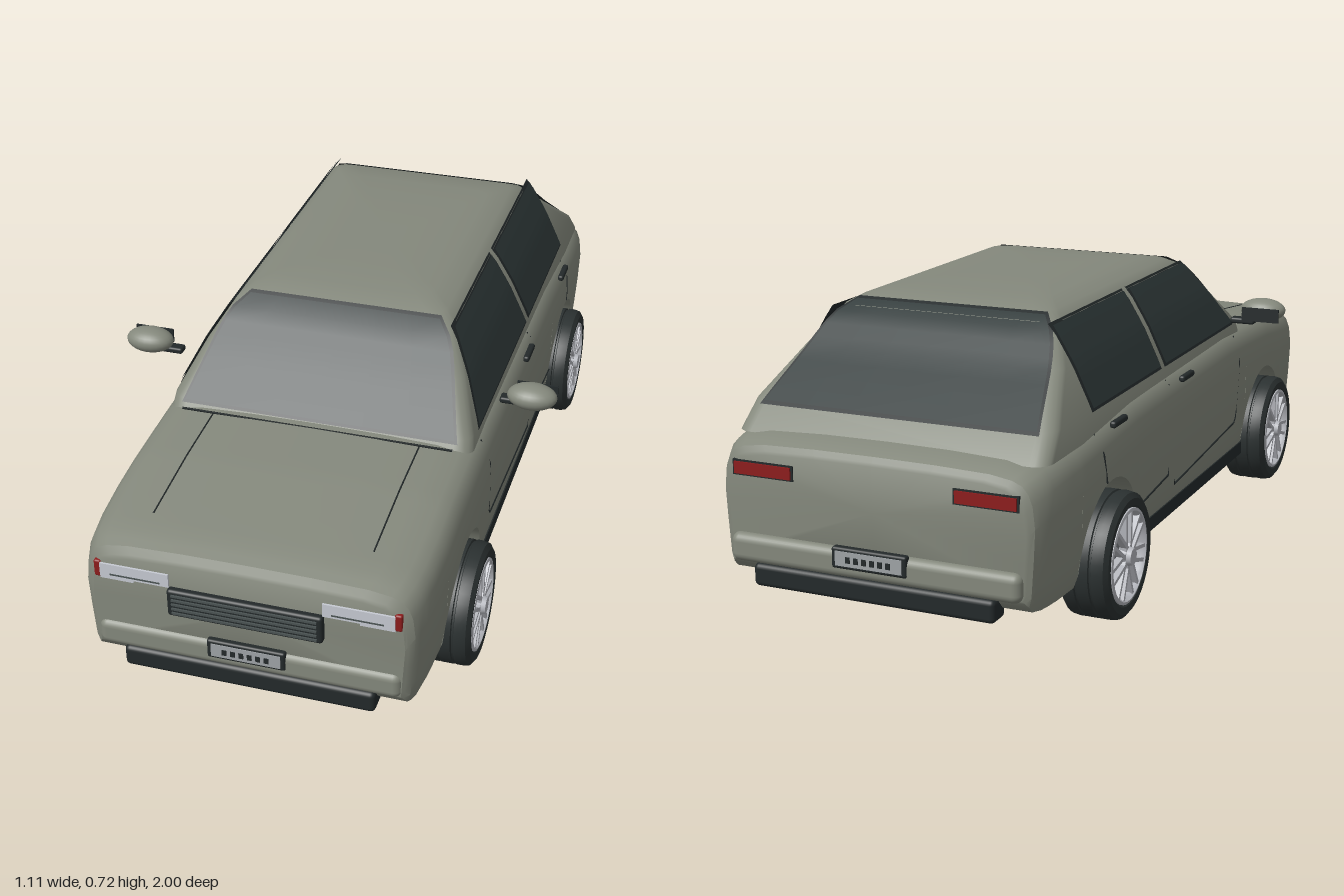
import * as THREE from 'three';
import { toCreasedNormals } from 'three/addons/utils/BufferGeometryUtils.js';
import { RoundedBoxGeometry } from 'three/addons/geometries/RoundedBoxGeometry.js';

const mat = (name, color, side = THREE.FrontSide) => {
  const m = new THREE.MeshStandardMaterial({ color, side });
  m.name = name;
  return m;
};
const paint = mat('body paint', 0x84887c);
const glass = mat('dark glass', 0x2e3838, THREE.DoubleSide);
const trim = mat('black trim', 0x23292a, THREE.DoubleSide);
const rubber = mat('tyre rubber', 0x2b3131);
const alloy = mat('alloy', 0xb4b6bc);
const alloyDark = mat('alloy shadow', 0x76787d);
const lens = mat('lamp lens', 0xc6cad2);
const red = mat('red lens', 0x8c1c1c);
const plateGrey = mat('plate grey', 0x9ea3a6);
const slat = mat('grille slat', 0x4a5252);

// Linear interpolation in a table of [key, value] pairs with rising keys
function table(k, rows, col = 1) {
  if (k <= rows[0][0]) return rows[0][col];
  for (let i = 1; i < rows.length; i++) {
    const a = rows[i - 1], b = rows[i];
    if (k <= b[0]) return a[col] + (b[col] - a[col]) * (k - a[0]) / (b[0] - a[0]);
  }
  return rows[rows.length - 1][col];
}
const lerp = THREE.MathUtils.lerp;

// Skin through closed rings, capped at both ends
function loft(rings, crease) {
  const n = rings[0].length, pos = [], index = [];
  rings.forEach(r => r.forEach(p => pos.push(...p)));
  for (let i = 0; i < rings.length - 1; i++) for (let j = 0; j < n; j++) {
    const k = (j + 1) % n, a = i * n + j, b = i * n + k;
    index.push(a, a + n, b + n, a, b + n, b);
  }
  [0, rings.length - 1].forEach((ri, end) => {
    const c = pos.length / 3, r = rings[ri];
    pos.push(...[0, 1, 2].map(d => r.reduce((s, p) => s + p[d], 0) / n));
    for (let j = 0; j < n; j++) {
      const a = ri * n + j, b = ri * n + (j + 1) % n;
      if (end) index.push(c, b, a); else index.push(c, a, b);
    }
  });
  const g = new THREE.BufferGeometry();
  g.setAttribute('position', new THREE.Float32BufferAttribute(pos, 3));
  g.setIndex(index);
  return toCreasedNormals(g, crease);
}

// Thin curved sheet from a rule f(u, v) -> [x, y, z]
function sheet(f, nu = 6, nv = 8) {
  const g = new THREE.PlaneGeometry(1, 1, nu, nv), p = g.attributes.position;
  for (let i = 0; i < p.count; i++) p.setXYZ(i, ...f(p.getX(i) + 0.5, p.getY(i) + 0.5));
  g.computeVertexNormals();
  return g;
}

// Lower body rules: roof line of the hood and boot, plan taper, side width by height
const TOP = [[-0.97, 0.41], [-0.96, 0.43], [-0.93, 0.443], [-0.85, 0.455], [-0.4, 0.485], [0.3, 0.492],
  [0.47, 0.485], [0.65, 0.475], [0.85, 0.452], [0.92, 0.443], [0.965, 0.43], [0.98, 0.405]];
const TAPER = [[-0.97, 0.89], [-0.96, 0.93], [-0.92, 0.97], [-0.85, 0.99], [-0.75, 1], [0.75, 1],
  [0.85, 0.99], [0.92, 0.97], [0.965, 0.935], [0.98, 0.89]];
const BASE = [[-0.97, 0.16], [-0.95, 0.13], [-0.9, 0.125], [0.93, 0.12], [0.96, 0.13], [0.98, 0.16]];
const WIDTH = [[0.12, 0.388], [0.16, 0.402], [0.3, 0.412]];
const SHOULDER = [[0, 0.3], [0.008, 0.355], [0.018, 0.38], [0.035, 0.396], [0.06, 0.406], [0.11, 0.412]];
const AXLES = [0.6, -0.59];
const sideX = (y, z) => Math.min(table(y, WIDTH), table(table(z, TOP) - y, SHOULDER)) * table(z, TAPER);

function bodyGeometry() {
  const stations = [];
  const plain = z => stations.push([z, table(z, BASE)]);
  [0.98, 0.975, 0.965, 0.945, 0.92, 0.88, 0.85, 0.8].forEach(plain);
  AXLES.forEach((axle, k) => {
    plain(axle + 0.1745);
    for (let i = 0; i <= 20; i++) {
      const t = Math.PI * i / 20;
      stations.push([axle + 0.1745 * Math.cos(t), 0.155 + 0.175 * Math.sin(t)]);
    }
    plain(axle - 0.1745);
    if (!k) [0.3, 0.1, -0.1, -0.3].forEach(plain);
  });
  [-0.8, -0.85, -0.89, -0.92, -0.945, -0.96, -0.966, -0.97].forEach(plain);
  return loft(stations.map(([z, yb]) => {
    const yt = table(z, TOP), s = table(z, TAPER), half = [];
    const low = yt - 0.11;
    [0, 0.12, 0.3, 0.6, 1].forEach(f => {
      const y = lerp(yb, low, f);
      half.push([table(y, WIDTH) * s, y, z]);
    });
    [...SHOULDER].reverse().slice(1).forEach(([d, x]) => half.push([x * s, yt - d, z]));
    half.push([0.16 * s, yt + 0.004, z]);
    return [[0, yb, z], ...half, [0, yt + 0.005, z], ...half.reverse().map(([x, y]) => [-x, y, z])];
  }), 0.6);
}

// Cabin levels: height, half width, front z, rear z
const CABIN = [[0.44, 0.386, 0.48, -0.91], [0.5, 0.378, 0.45, -0.85], [0.6, 0.33, 0.345, -0.71],
  [0.685, 0.278, 0.25, -0.61], [0.702, 0.25, 0.215, -0.57], [0.713, 0.2, 0.15, -0.48], [0.718, 0.12, 0.05, -0.32]];
function cabinGeometry() {
  return loft([...CABIN].reverse().map(([y, w, zf, zr]) => {
    const ring = [], r = 0.04;
    [[1, 1], [1, -1], [-1, -1], [-1, 1]].forEach(([sx, sz], q) => {
      for (let i = 0; i <= 5; i++) {
        const t = (q + i / 5) * Math.PI / 2;
        ring.push([sx * (w - r) + r * Math.sin(t), y, (sz > 0 ? zf - r : zr + r) + r * Math.cos(t)]);
      }
    });
    return ring;
  }), 0.7);
}

function buildWheel() {
  const wheel = new THREE.Group();
  const put = (name, geo, m) => {
    const mesh = new THREE.Mesh(geo, m);
    mesh.name = name;
    wheel.add(mesh);
    return mesh;
  };
  const lathe = pts => toCreasedNormals(new THREE.LatheGeometry(
    pts.map(p => new THREE.Vector2(...p)), 40).rotateZ(-Math.PI / 2), 0.6);
  put('tyre', lathe([[0.11, -0.05], [0.118, -0.06], [0.135, -0.062], [0.147, -0.052], [0.15, -0.035], [0.15, -0.022],
    [0.146, -0.02], [0.146, -0.016], [0.15, -0.014], [0.15, 0.014], [0.146, 0.016], [0.146, 0.02], [0.15, 0.022],
    [0.15, 0.035], [0.147, 0.05], [0.135, 0.059], [0.118, 0.058], [0.11, 0.05], [0.11, -0.05]]), rubber);
  put('rimRing', lathe([[0.1, -0.05], [0.113, -0.05], [0.113, 0.058], [0.106, 0.06], [0.1, 0.05], [0.1, -0.05]]), alloy);
  put('rimBack', new THREE.CylinderGeometry(0.104, 0.104, 0.02, 32).rotateZ(Math.PI / 2).translate(0.02, 0, 0), alloyDark);
  put('rimInner', new THREE.CylinderGeometry(0.104, 0.104, 0.006, 32).rotateZ(Math.PI / 2).translate(0.006, 0, 0), alloy);
  put('hub', new THREE.CylinderGeometry(0.02, 0.026, 0.03, 20).rotateZ(-Math.PI / 2).translate(0.053, 0, 0), alloy);
  for (let i = 0; i < 7; i++) for (const s of [-1, 1]) {
    const spoke = put('spoke', new THREE.BoxGeometry(0.016, 0.09, 0.009).translate(0.049, 0.06, s * 0.011), alloy);
    spoke.rotation.x = i * Math.PI * 2 / 7 + s * 0.06;
  }
  return wheel;
}

export function createModel() {
  const car = new THREE.Group();
  car.name = 'saloonCar';
  const add = (name, geo, m, x = 0, y = 0, z = 0) => {
    const mesh = new THREE.Mesh(geo, m);
    mesh.name = name;
    mesh.position.set(x, y, z);
    car.add(mesh);
    return mesh;
  };
  const box = (name, m, w, h, d, x, y, z) => add(name, new THREE.BoxGeometry(w, h, d), m, x, y, z);
  const round = (name, m, w, h, d, x, y, z, r) => add(name, new RoundedBoxGeometry(w, h, d, 3, r), m, x, y, z);
  const seam = (name, pts, r = 0.003) => {
    const path = new THREE.CurvePath();
    pts.slice(1).forEach((p, i) => path.add(new THREE.LineCurve3(new THREE.Vector3(...pts[i]), new THREE.Vector3(...p))));
    add(name, new THREE.TubeGeometry(path, 40, r, 5), trim);
  };

  add('lowerBody', bodyGeometry(), paint);
  add('cabin', cabinGeometry(), paint);

  // Windscreen and rear window, each with a dark frame just beneath
  for (const [name, m, grow, off] of [['Frame', trim, 0.008, 0.004], ['Glass', glass, 0, 0.007]]) {
    for (const [end, col, s] of [['windscreen', 2, 1], ['rearWindow', 3, -1]]) {
      add(end + name, sheet((u, v) => {
        const y = lerp(0.502 - grow, 0.698 + grow / 2, v);
        const w = Math.min(lerp(0.34, 0.27, v), table(y, CABIN) - 0.014) + grow;
        return [s * lerp(-w, w, u), y, table(y, CABIN, col) + s * off];
      }), m);
    }
    // Side windows: lower front, upper front and rear edge
    for (const s of [-1, 1]) for (const [part, z0, z1, zr] of [['front', 0.375, 0.235, -0.16], ['rear', -0.198, -0.198, -0.635]]) {
      add(part + 'Side' + name, sheet((u, v) => {
        const y = lerp(0.505 - grow, 0.686 + grow / 2, v);
        return [s * (table(y, CABIN) + off), y, lerp(lerp(z0, z1, v) + grow, zr - grow, s > 0 ? u : 1 - u)];
      }), m);
    }
  }

  for (const s of [-1, 1]) {
    // Panel gaps
    const onSide = ([z, y]) => [s * sideX(y, z), y, z];
    seam('frontDoorGap', [[0.375, 0.465], [0.365, 0.4], [0.345, 0.23], [0.1, 0.21], [-0.145, 0.19], [-0.17, 0.465]].map(onSide));
    seam('rearDoorGap', [[-0.17, 0.455], [-0.2, 0.23], [-0.43, 0.205]].map(onSide));
    seam('rearDoorEdge', [[-0.625, 0.33], [-0.635, 0.4], [-0.64, 0.45]].map(onSide));
    seam('hoodGap', [0.47, 0.65, 0.75, 0.86].map(z => [s * 0.26, table(z, TOP) + 0.001, z]), 0.002);
    box('sill', trim, 0.03, 0.035, 0.85, s * 0.387, 0.133, 0.005);
    for (const z of [-0.08, -0.55]) round('doorHandle', trim, 0.016, 0.016, 0.08, s * 0.41, 0.457, z, 0.006);

    // Door mirrors
    add('mirrorShell', new THREE.SphereGeometry(1, 24, 16).scale(0.061, 0.031, 0.042), paint, s * 0.492, 0.562, 0.3);
    box('mirrorGlass', trim, 0.1, 0.036, 0.006, s * 0.497, 0.555, 0.257);
    round('mirrorArm', trim, 0.066, 0.016, 0.03, s * 0.444, 0.533, 0.28, 0.006);

    // Lamps
    box('headlamp', lens, 0.165, 0.034, 0.05, s * 0.262, 0.367, 0.96);
    box('headlampLower', lens, 0.08, 0.02, 0.048, s * 0.305, 0.353, 0.959);
    box('headlampLine', slat, 0.12, 0.003, 0.004, s * 0.26, 0.358, 0.985);
    round('cornerLamp', red, 0.018, 0.044, 0.06, s * 0.351, 0.366, 0.953, 0.005);
    box('tailLampSurround', trim, 0.155, 0.036, 0.05, s * 0.275, 0.375, -0.948);
    box('tailLamp', red, 0.145, 0.028, 0.05, s * 0.275, 0.375, -0.952);

    // Bumper, lip and plate at each end
    round('bumper', paint, 0.72, 0.068, 0.07, 0, 0.189, s * 0.955, 0.02);
    round('bumperLip', trim, 0.6, 0.054, 0.06, 0, 0.131, s * 0.96, 0.012);
    round('plateHolder', trim, 0.186, 0.05, 0.02, 0, 0.204, s * 0.984, 0.006);
    box('plate', plateGrey, 0.165, 0.034, 0.006, 0, 0.204, s * 0.993);
    for (let i = 0; i < 6; i++) box('plateSlot', trim, 0.011, 0.014, 0.004, (i - 2.5) * 0.02, 0.203, s * 0.996);

    AXLES.forEach(z => {
      const wheel = buildWheel();
      wheel.name = z > 0 ? 'frontWheel' : 'rearWheel';
      wheel.position.set(s * 0.397, 0.151, z);
      if (s < 0) wheel.rotation.y = Math.PI;
      car.add(wheel);
    });
  }
  seam('cowlGap', [[-0.34, 0.488, 0.475], [0.34, 0.488, 0.475]]);
  round('grille', trim, 0.365, 0.072, 0.04, 0, 0.315, 0.976, 0.008);
  for (let i = 0; i < 5; i++) box('grilleSlat', slat, 0.34, 0.005, 0.006, 0, 0.291 + i * 0.012, 0.997);
  return car;
}
